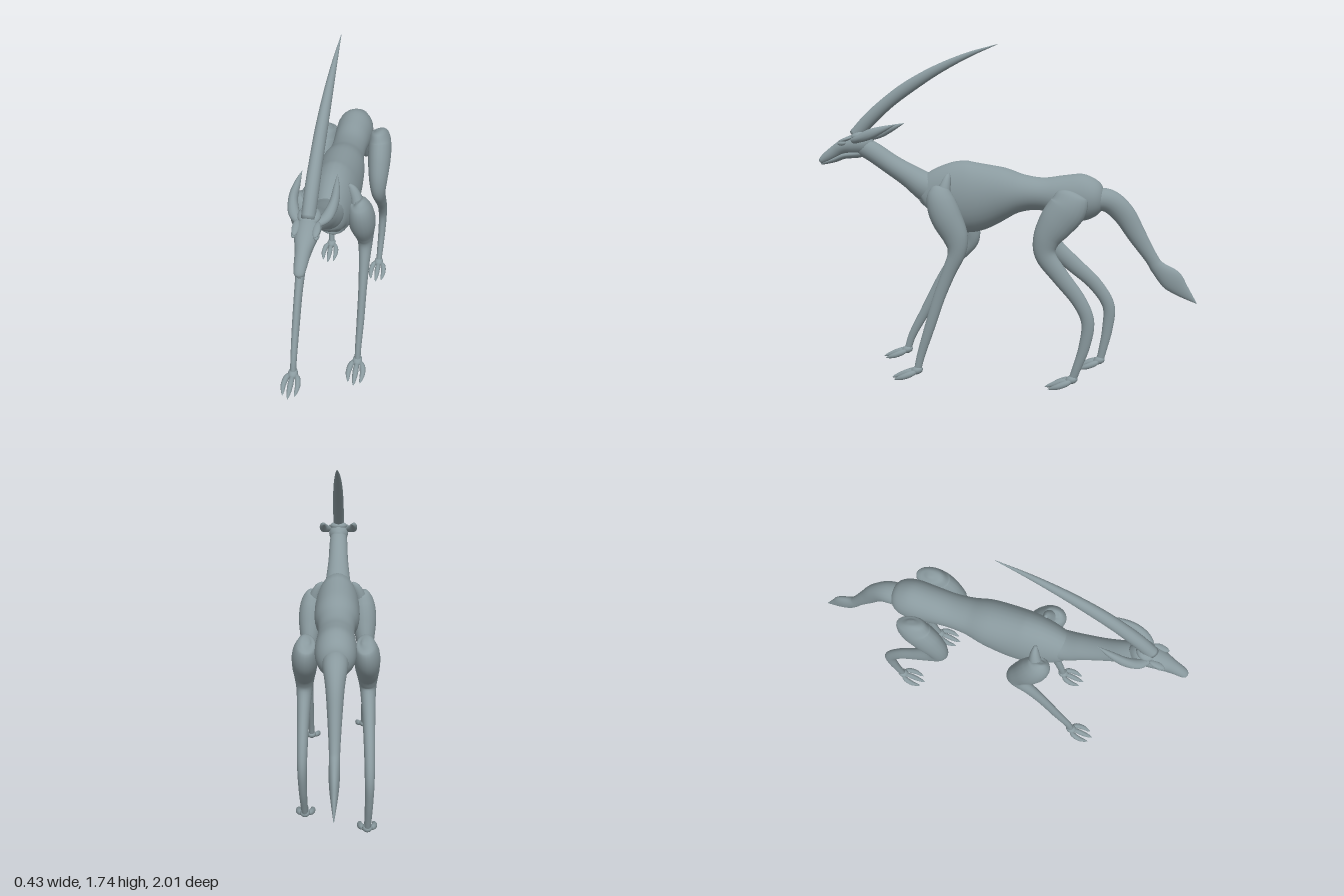
import * as THREE from 'three';

const hide = new THREE.MeshStandardMaterial({ color: 0x8a9a9f });
hide.name = 'slate hide';

// Smooth tube through stations [x, y, z, halfWidth, halfHeight], closed at both ends.
function loft(name, stations, rings = 40, sides = 20) {
  const path = new THREE.CatmullRomCurve3(
    stations.map(s => new THREE.Vector3(s[0], s[1], s[2])), false, 'catmullrom', 0.5);
  const size = new THREE.CatmullRomCurve3(
    stations.map(s => new THREE.Vector3(s[3], s[4] ?? s[3], 0)), false, 'catmullrom', 0.5);
  const pos = [], index = [];
  for (let i = 0; i <= rings; i++) {
    const t = i / rings;
    const c = path.getPoint(t), r = size.getPoint(t), dir = path.getTangent(t);
    const side = new THREE.Vector3(1, 0, 0).addScaledVector(dir, -dir.x).normalize();
    const up = new THREE.Vector3().crossVectors(dir, side);
    for (let j = 0; j < sides; j++) {
      const a = (j / sides) * Math.PI * 2;
      const p = c.clone()
        .addScaledVector(side, Math.cos(a) * Math.max(r.x, 0.001))
        .addScaledVector(up, Math.sin(a) * Math.max(r.y, 0.001));
      pos.push(p.x, p.y, p.z);
    }
  }
  for (let i = 0; i < rings; i++) {
    for (let j = 0; j < sides; j++) {
      const k = (j + 1) % sides;
      const a = i * sides + j, b = i * sides + k;
      index.push(a, b, a + sides, b, b + sides, a + sides);
    }
  }
  // end caps
  const start = path.getPoint(0), end = path.getPoint(1), n = pos.length / 3;
  pos.push(start.x, start.y, start.z, end.x, end.y, end.z);
  for (let j = 0; j < sides; j++) {
    const k = (j + 1) % sides, last = rings * sides;
    index.push(n, k, j, n + 1, last + j, last + k);
  }
  const g = new THREE.BufferGeometry();
  g.setAttribute('position', new THREE.Float32BufferAttribute(pos, 3));
  g.setIndex(index);
  g.computeVertexNormals();
  const mesh = new THREE.Mesh(g, hide);
  mesh.name = name;
  return mesh;
}

function ball(name, x, y, z, rx, ry, rz, tilt = 0) {
  const mesh = new THREE.Mesh(new THREE.SphereGeometry(1, 20, 14), hide);
  mesh.name = name;
  mesh.position.set(x, y, z);
  mesh.scale.set(rx, ry, rz);
  mesh.rotation.x = tilt;
  return mesh;
}

// Foot with an ankle and three pointed toes, ankle at z.
function foot(name, x, z) {
  const g = new THREE.Group();
  g.name = name;
  g.add(ball('ankle', x, 0.05, z + 0.005, 0.026, 0.022, 0.032, 0.3));
  for (const k of [-1, 0, 1]) {
    const tx = x + k * 0.034, ahead = k === 0 ? 0.02 : 0;
    g.add(loft('toe', [
      [x + k * 0.012, 0.045, z + 0.005, 0.008],
      [x + k * 0.03, 0.038, z + 0.03 + ahead, 0.015, 0.016],
      [tx + k * 0.004, 0.022, z + 0.07 + ahead, 0.014, 0.015],
      [tx, 0.009, z + 0.105 + ahead, 0.008, 0.008],
      [tx - k * 0.002, 0.003, z + 0.122 + ahead, 0.001],
    ], 16, 12));
  }
  return g;
}

export function createModel() {
  const model = new THREE.Group();
  model.name = 'horned antelope';

  // torso, chest to rump
  model.add(loft('torso', [
    [0, 0.90, 0.415, 0.015, 0.02], [0, 0.915, 0.40, 0.065, 0.09],
    [0, 0.945, 0.35, 0.093, 0.15], [0, 0.957, 0.25, 0.113, 0.185],
    [0, 0.96, 0.15, 0.12, 0.185], [0, 0.982, 0, 0.115, 0.138],
    [0, 0.985, -0.1, 0.096, 0.098], [0, 0.982, -0.2, 0.09, 0.085],
    [0, 0.975, -0.3, 0.095, 0.105], [0, 0.968, -0.4, 0.1, 0.122],
    [0, 0.965, -0.47, 0.088, 0.1], [0, 0.963, -0.51, 0.055, 0.062],
    [0, 0.963, -0.525, 0.005],
  ], 60, 28));

  model.add(loft('neck', [
    [0, 0.965, 0.28, 0.08, 0.12], [0, 1.0, 0.4, 0.077, 0.082],
    [0, 1.06, 0.5, 0.065, 0.062], [0, 1.12, 0.6, 0.056, 0.054],
    [0, 1.185, 0.7, 0.052, 0.053], [0, 1.225, 0.78, 0.045, 0.05],
  ], 36, 24));

  // head: skull, jaw and crown
  model.add(loft('skull', [
    [0, 1.225, 0.70, 0.02, 0.02], [0, 1.228, 0.74, 0.052, 0.052],
    [0, 1.225, 0.80, 0.055, 0.054], [0, 1.212, 0.86, 0.047, 0.042],
    [0, 1.185, 0.91, 0.034, 0.036], [0, 1.152, 0.965, 0.027, 0.027],
    [0, 1.133, 0.993, 0.02, 0.017], [0, 1.127, 1.0, 0.004],
  ], 36, 24));
  model.add(loft('jaw', [
    [0, 1.185, 0.74, 0.02, 0.02], [0, 1.175, 0.79, 0.04, 0.022],
    [0, 1.165, 0.86, 0.033, 0.018], [0, 1.142, 0.92, 0.023, 0.015],
    [0, 1.122, 0.985, 0.014, 0.008], [0, 1.119, 0.995, 0.003],
  ], 24, 18));
  model.add(ball('crown', 0, 1.27, 0.775, 0.05, 0.025, 0.05, 0.2));

  // curved horn sweeping back
  model.add(loft('horn', [
    [0, 1.27, 0.80, 0.03, 0.036], [0, 1.36, 0.715, 0.031, 0.036],
    [0, 1.45, 0.61, 0.029, 0.034], [0, 1.527, 0.50, 0.027, 0.033],
    [0, 1.613, 0.35, 0.021, 0.025], [0, 1.685, 0.19, 0.012, 0.014],
    [0, 1.74, 0.03, 0.001],
  ], 48, 18));

  // tail with a leaf-shaped tuft
  model.add(loft('tail', [
    [0, 0.955, -0.45, 0.06, 0.06], [0, 0.955, -0.54, 0.058, 0.06],
    [0, 0.89, -0.62, 0.044, 0.057], [0, 0.78, -0.69, 0.034, 0.047],
    [0, 0.665, -0.765, 0.026, 0.034], [0, 0.615, -0.80, 0.025, 0.038],
    [0, 0.555, -0.868, 0.024, 0.056], [0, 0.50, -0.925, 0.016, 0.036],
    [0, 0.435, -1.0, 0.001],
  ], 50, 20));

  for (const s of [1, -1]) {
    const side = s > 0 ? 'left' : 'right';

    model.add(ball(side + 'Eye', s * 0.047, 1.233, 0.858, 0.012, 0.013, 0.023, 0.1));
    model.add(ball(side + 'Brow', s * 0.044, 1.252, 0.84, 0.016, 0.01, 0.04, 0.3));
    model.add(loft(side + 'Ear', [
      [s * 0.035, 1.245, 0.80, 0.015], [s * 0.07, 1.258, 0.755, 0.024, 0.02],
      [s * 0.088, 1.283, 0.69, 0.021, 0.027], [s * 0.086, 1.31, 0.62, 0.015, 0.017],
      [s * 0.078, 1.335, 0.553, 0.001],
    ], 24, 14));

    // shoulder spur above the front leg
    model.add(loft(side + 'ShoulderSpur', [
      [s * 0.135, 0.95, 0.30, 0.035, 0.045], [s * 0.122, 1.01, 0.285, 0.03, 0.032],
      [s * 0.1, 1.06, 0.275, 0.022, 0.02], [s * 0.08, 1.085, 0.272, 0.008],
    ], 16, 14));

    // the legs stride: shared upper parts, different lower parts per side
    const frontLower = s > 0
      ? [[0.16, 0.59, 0.255, 0.028, 0.036], [0.162, 0.45, 0.31, 0.022, 0.031],
        [0.162, 0.28, 0.365, 0.02, 0.027], [0.16, 0.14, 0.41, 0.017, 0.022],
        [0.16, 0.05, 0.432, 0.016, 0.019]]
      : [[0.16, 0.59, 0.295, 0.028, 0.036], [0.162, 0.45, 0.385, 0.022, 0.031],
        [0.162, 0.28, 0.475, 0.02, 0.027], [0.16, 0.14, 0.55, 0.017, 0.022],
        [0.16, 0.05, 0.58, 0.016, 0.019]];
    const front = [
      [0.13, 1.02, 0.31, 0.012, 0.015], [0.137, 1.005, 0.31, 0.042, 0.052],
      [0.143, 0.95, 0.30, 0.062, 0.074], [0.148, 0.87, 0.27, 0.066, 0.08],
      [0.153, 0.77, 0.222, 0.05, 0.066], [0.158, 0.69, 0.215, 0.037, 0.047],
      ...frontLower];

    const rearLower = s > 0
      ? [[0.163, 0.59, -0.315, 0.032, 0.045], [0.165, 0.47, -0.41, 0.027, 0.038],
        [0.166, 0.36, -0.458, 0.024, 0.033], [0.165, 0.23, -0.443, 0.021, 0.028],
        [0.162, 0.11, -0.405, 0.018, 0.022], [0.16, 0.05, -0.385, 0.016, 0.02]]
      : [[0.163, 0.59, -0.345, 0.032, 0.045], [0.165, 0.48, -0.47, 0.027, 0.038],
        [0.166, 0.36, -0.548, 0.024, 0.033], [0.165, 0.23, -0.545, 0.021, 0.028],
        [0.162, 0.11, -0.522, 0.018, 0.022], [0.16, 0.05, -0.508, 0.016, 0.02]];
    const rear = [
      [0.135, 1.012, -0.37, 0.012, 0.015], [0.14, 0.995, -0.365, 0.045, 0.075],
      [0.148, 0.935, -0.35, 0.062, 0.095], [0.153, 0.86, -0.295, 0.062, 0.09],
      [0.157, 0.775, -0.245, 0.052, 0.068], [0.16, 0.69, -0.242, 0.04, 0.053],
      ...rearLower];

    const place = p => p.map(([x, ...rest]) => [s * x, ...rest]);
    model.add(loft(side + 'FrontLeg', place(front), 60, 20));
    model.add(loft(side + 'RearLeg', place(rear), 60, 20));
    model.add(foot(side + 'FrontFoot', s * 0.16, s > 0 ? 0.43 : 0.578));
    model.add(foot(side + 'RearFoot', s * 0.16, s > 0 ? -0.385 : -0.508));
  }
  return model;
}
